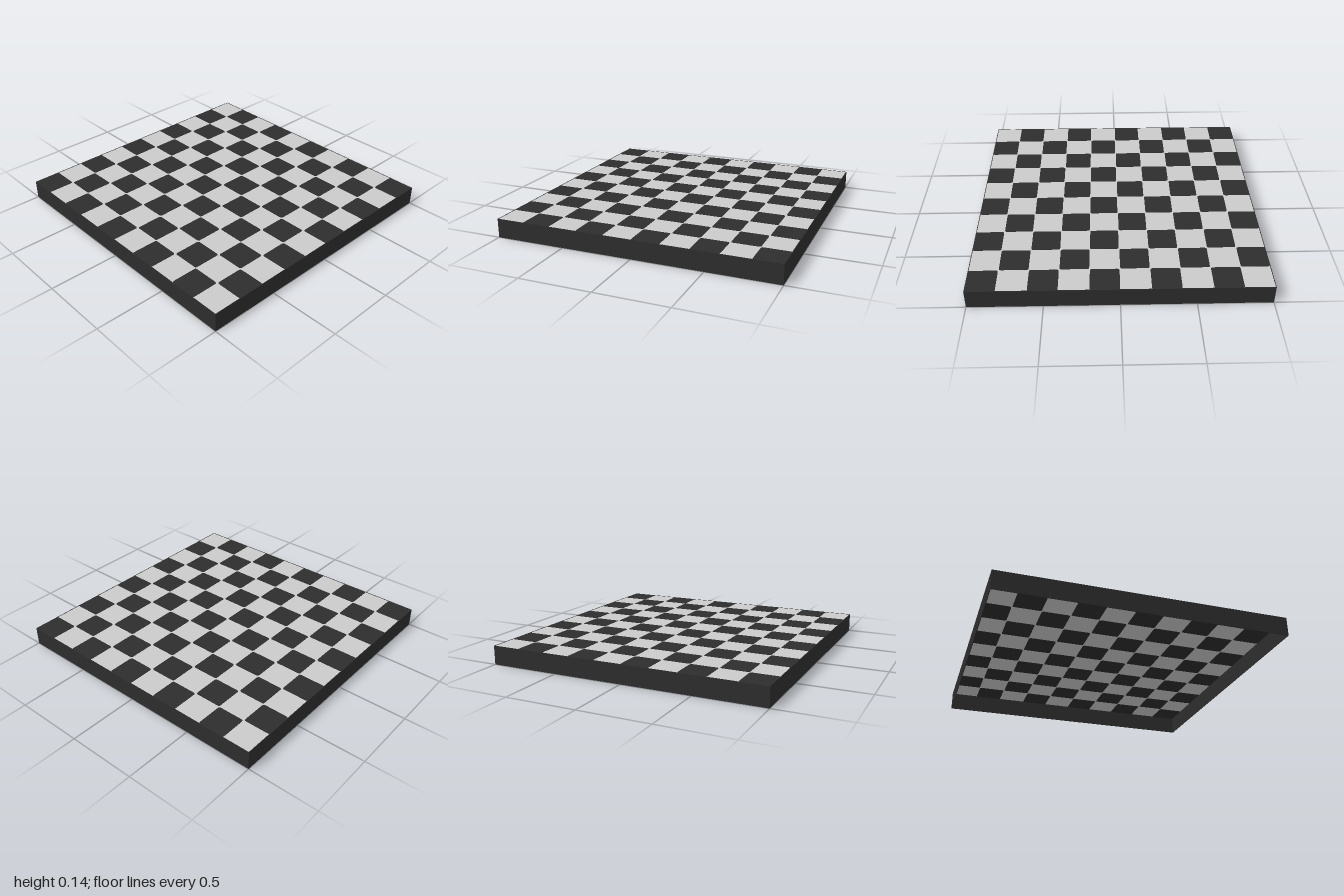
import * as THREE from 'three';

const SIZE = 2, HEIGHT = 0.135, CELLS = 10, CELL = SIZE / CELLS;
const WALL = 0.004, PLATE = 0.004;

// Square outline with slightly rounded corners
function roundedSquare(half, r) {
  const s = new THREE.Shape();
  s.moveTo(-half + r, -half);
  s.lineTo(half - r, -half);
  s.quadraticCurveTo(half, -half, half, -half + r);
  s.lineTo(half, half - r);
  s.quadraticCurveTo(half, half, half - r, half);
  s.lineTo(-half + r, half);
  s.quadraticCurveTo(-half, half, -half, half - r);
  s.lineTo(-half, -half + r);
  s.quadraticCurveTo(-half, -half, -half + r, -half);
  return s;
}

export function createModel() {
  const light = new THREE.MeshStandardMaterial({ color: 0xcacaca });
  light.name = 'light grey';
  light.side = THREE.DoubleSide;
  const dark = new THREE.MeshStandardMaterial({ color: 0x2d2d2d });
  dark.name = 'charcoal';

  const board = new THREE.Group();
  board.name = 'checkerBoard';

  // Light top sheet, visible from above and from the hollow underside
  const sheet = new THREE.Mesh(new THREE.PlaneGeometry(SIZE - WALL, SIZE - WALL), light);
  sheet.name = 'lightTop';
  sheet.rotation.x = -Math.PI / 2;
  sheet.position.y = HEIGHT - PLATE / 2;
  board.add(sheet);

  // Dark squares, thin plates set through the sheet
  const squares = new THREE.Group();
  squares.name = 'darkSquares';
  const tileGeo = new THREE.ExtrudeGeometry(roundedSquare(CELL / 2 - 0.002, 0.014), {
    depth: PLATE, bevelEnabled: false, curveSegments: 3,
  });
  tileGeo.rotateX(-Math.PI / 2);
  for (let row = 0; row < CELLS; row++) {
    for (let col = 0; col < CELLS; col++) {
      if ((row + col) % 2 === 0) continue;
      const tile = new THREE.Mesh(tileGeo, dark);
      tile.name = 'darkSquare';
      tile.position.set((col + 0.5) * CELL - 1, HEIGHT - PLATE, (row + 0.5) * CELL - 1);
      squares.add(tile);
    }
  }
  board.add(squares);

  // Four thin side walls, open underneath
  const wallGeo = new THREE.BoxGeometry(SIZE, HEIGHT, WALL);
  wallGeo.translate(0, HEIGHT / 2, SIZE / 2 - WALL / 2);
  ['frontWall', 'leftWall', 'backWall', 'rightWall'].forEach((name, i) => {
    const wall = new THREE.Mesh(wallGeo, dark);
    wall.name = name;
    wall.rotation.y = i * Math.PI / 2;
    board.add(wall);
  });

  return board;
}
